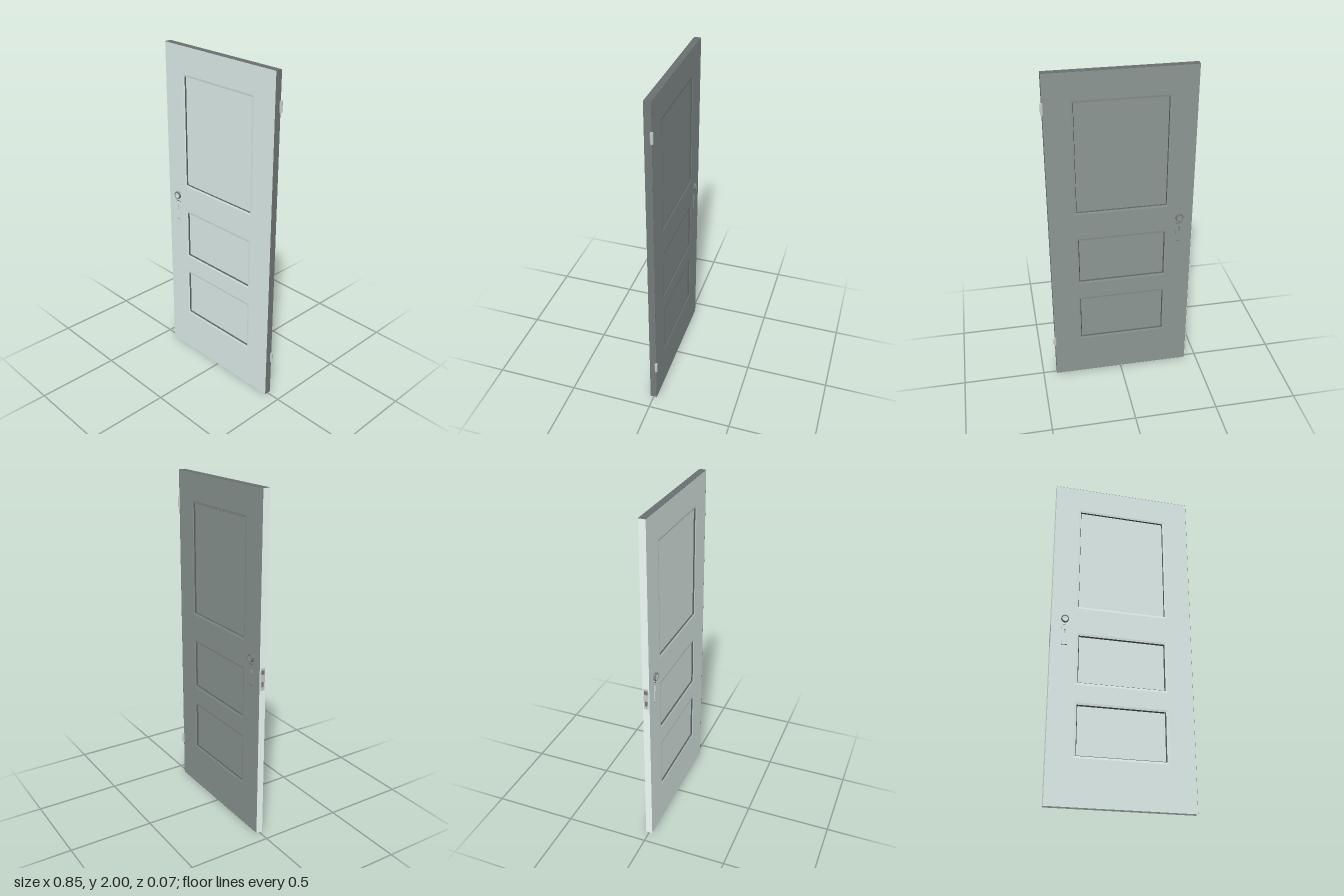
import * as THREE from 'three';

const LEFT = 0.416, RIGHT = -0.427, HEIGHT = 2, HALF = 0.02;
const EDGE = 0.001;  // thickness of the edge lipping
const MOULD = 0.012; // width of the sloped moulding around each panel
const LOCK_X = -0.348;
// Visible panel openings: x0, x1, y0, y1, groove width
const PANELS = [
  [-0.27, 0.255, 1.17, 1.83, 0.003],
  [-0.265, 0.25, 0.695, 0.985, 0.005],
  [-0.265, 0.25, 0.275, 0.565, 0.005],
];

const paint = (color) => new THREE.MeshStandardMaterial({ color });
const frontPaint = paint(0xe2f1ed);
const backPaint = paint(0x8e9896);
const lightEdge = paint(0xf2fffb);
const hingeEdgePaint = paint(0x747b7a);
const topEdgePaint = paint(0x6a7170);
const groovePaint = paint(0x58605e);
const darkMetal = paint(0x777a7a);
const metal = paint(0xcccccc);

function mesh(name, geometry, material, x = 0, y = 0, z = 0) {
  const m = new THREE.Mesh(geometry, material);
  m.name = name;
  m.position.set(x, y, z);
  return m;
}

function rect(Type, x0, x1, y0, y1) {
  const p = new Type();
  p.moveTo(x0, y0);
  p.lineTo(x1, y0);
  p.lineTo(x1, y1);
  p.lineTo(x0, y1);
  p.closePath();
  return p;
}

// Rectangular ring of half size (w, h) between two [inset, z] loops, facing +z and inward
function ringGeometry(w, h, outer, inner) {
  const corners = ([i, z]) => [
    [i - w, i - h, z], [w - i, i - h, z], [w - i, h - i, z], [i - w, h - i, z],
  ];
  const a = corners(outer), b = corners(inner);
  const pos = [];
  for (let k = 0; k < 4; k++) {
    const n = (k + 1) % 4;
    pos.push(...a[k], ...a[n], ...b[n], ...a[k], ...b[n], ...b[k]);
  }
  const g = new THREE.BufferGeometry();
  g.setAttribute('position', new THREE.Float32BufferAttribute(pos, 3));
  g.computeVertexNormals();
  return g;
}

// One face of the door, modelled towards +z; mirror = -1 swaps left and right
function createFace(mirror, material) {
  const face = new THREE.Group();
  const span = (a, b) => [Math.min(a * mirror, b * mirror), Math.max(a * mirror, b * mirror)];

  // Stiles and rails with three openings
  const outline = rect(THREE.Shape, ...span(RIGHT + EDGE, LEFT - EDGE), EDGE, HEIGHT - EDGE);
  for (const [x0, x1, y0, y1] of PANELS) {
    outline.holes.push(rect(THREE.Path, ...span(x0 - MOULD, x1 + MOULD), y0 - MOULD, y1 + MOULD));
  }
  face.add(mesh('doorFrame', new THREE.ExtrudeGeometry(outline, { depth: HALF, bevelEnabled: false }), material));

  // Recessed panels with moulding and groove
  for (const [x0, x1, y0, y1, groove] of PANELS) {
    const w = x1 - x0, h = y1 - y0;
    const W = w / 2 + MOULD, H = h / 2 + MOULD;
    const panel = new THREE.Group();
    panel.name = 'panel';
    panel.position.set(mirror * (x0 + x1) / 2, (y0 + y1) / 2, 0);
    panel.add(mesh('panelBoard', new THREE.BoxGeometry(w, h, 0.01), material, 0, 0, 0.005));
    panel.add(mesh('panelMoulding', ringGeometry(W, H, [0, HALF], [MOULD, 0.018]), material));
    panel.add(mesh('panelGroove', ringGeometry(W, H, [MOULD, 0.018], [MOULD + groove, 0.01]), groovePaint));
    face.add(panel);
  }

  // Drum-shaped knob with a rounded rim and a dished end
  const handle = new THREE.Group();
  handle.name = 'handle';
  handle.position.x = mirror * LOCK_X;
  const rim = [
    [0.02, 0.018], [0.0225, 0.021], [0.0225, 0.03], [0.0215, 0.0325], [0.0195, 0.033], [0.0165, 0.031],
  ].map(([r, y]) => new THREE.Vector2(r, y));
  const dish = [[0.0165, 0.031], [0.015, 0.029], [0, 0.029]].map(([r, y]) => new THREE.Vector2(r, y));
  handle.add(mesh('knobRim', new THREE.LatheGeometry(rim, 32).rotateX(Math.PI / 2), darkMetal, 0, 1.08, 0));
  handle.add(mesh('knobDish', new THREE.LatheGeometry(dish, 32).rotateX(Math.PI / 2), material, 0, 1.08, 0));

  // Escutcheon with dark end bands and a keyhole
  const plateShape = rect(THREE.Shape, -0.017, 0.017, -0.06, 0.06);
  plateShape.holes.push(rect(THREE.Path, -0.004, 0.004, 0.008, 0.034));
  const plate = new THREE.ExtrudeGeometry(plateShape, { depth: 0.004, bevelEnabled: false });
  handle.add(mesh('escutcheon', plate, material, 0, 0.98, HALF - 0.0005));
  for (const y of [0.92, 1.04]) {
    handle.add(mesh('escutcheonEnd', new THREE.BoxGeometry(0.034, 0.005, 0.003), groovePaint, 0, y, HALF + 0.001));
  }
  handle.add(mesh('keyholeRecess', new THREE.BoxGeometry(0.008, 0.026, 0.001), groovePaint, 0, 1.001, HALF));
  handle.add(mesh('keyCylinder', new THREE.BoxGeometry(0.004, 0.02, 0.002), metal, 0, 1.001, HALF + 0.0005));
  face.add(handle);
  return face;
}

export function createModel() {
  const door = new THREE.Group();
  door.name = 'door';

  const front = createFace(1, frontPaint);
  front.name = 'frontFace';
  const back = createFace(-1, backPaint);
  back.name = 'backFace';
  back.rotation.y = Math.PI;
  door.add(front, back);

  // Lipping around the four edges
  const width = LEFT - RIGHT, middle = (LEFT + RIGHT) / 2;
  const across = new THREE.BoxGeometry(width, EDGE, 2 * HALF);
  const upright = new THREE.BoxGeometry(EDGE, HEIGHT - 2 * EDGE, 2 * HALF);
  door.add(mesh('topEdge', across, topEdgePaint, middle, HEIGHT - EDGE / 2, 0));
  door.add(mesh('bottomEdge', across, lightEdge, middle, EDGE / 2, 0));
  door.add(mesh('hingeEdge', upright, hingeEdgePaint, LEFT - EDGE / 2, HEIGHT / 2, 0));
  door.add(mesh('closingEdge', upright, lightEdge, RIGHT + EDGE / 2, HEIGHT / 2, 0));

  // Lock plate, latch and bolt, nearly flush with the closing edge
  door.add(mesh('lockPlate', new THREE.BoxGeometry(0.002, 0.13, 0.028), metal, RIGHT + 0.0006, 0.975, 0));
  door.add(mesh('latch', new THREE.BoxGeometry(0.002, 0.024, 0.02), darkMetal, RIGHT + 0.0002, 1.015, 0));
  door.add(mesh('bolt', new THREE.BoxGeometry(0.002, 0.03, 0.014), darkMetal, RIGHT + 0.0002, 0.945, 0));

  // Hinges on the back corner
  for (const y of [1.81, 0.26]) {
    const hinge = new THREE.Group();
    hinge.name = 'hinge';
    hinge.position.set(0.4175, y, -HALF);
    hinge.add(mesh('hingeBarrel', new THREE.CylinderGeometry(0.009, 0.009, 0.056, 20), metal));
    for (const s of [1, -1]) {
      hinge.add(mesh('hingeCap', new THREE.CylinderGeometry(0.007, 0.007, 0.004, 20), metal, 0, s * 0.03, 0));
    }
    door.add(hinge);
  }

  return door;
}
